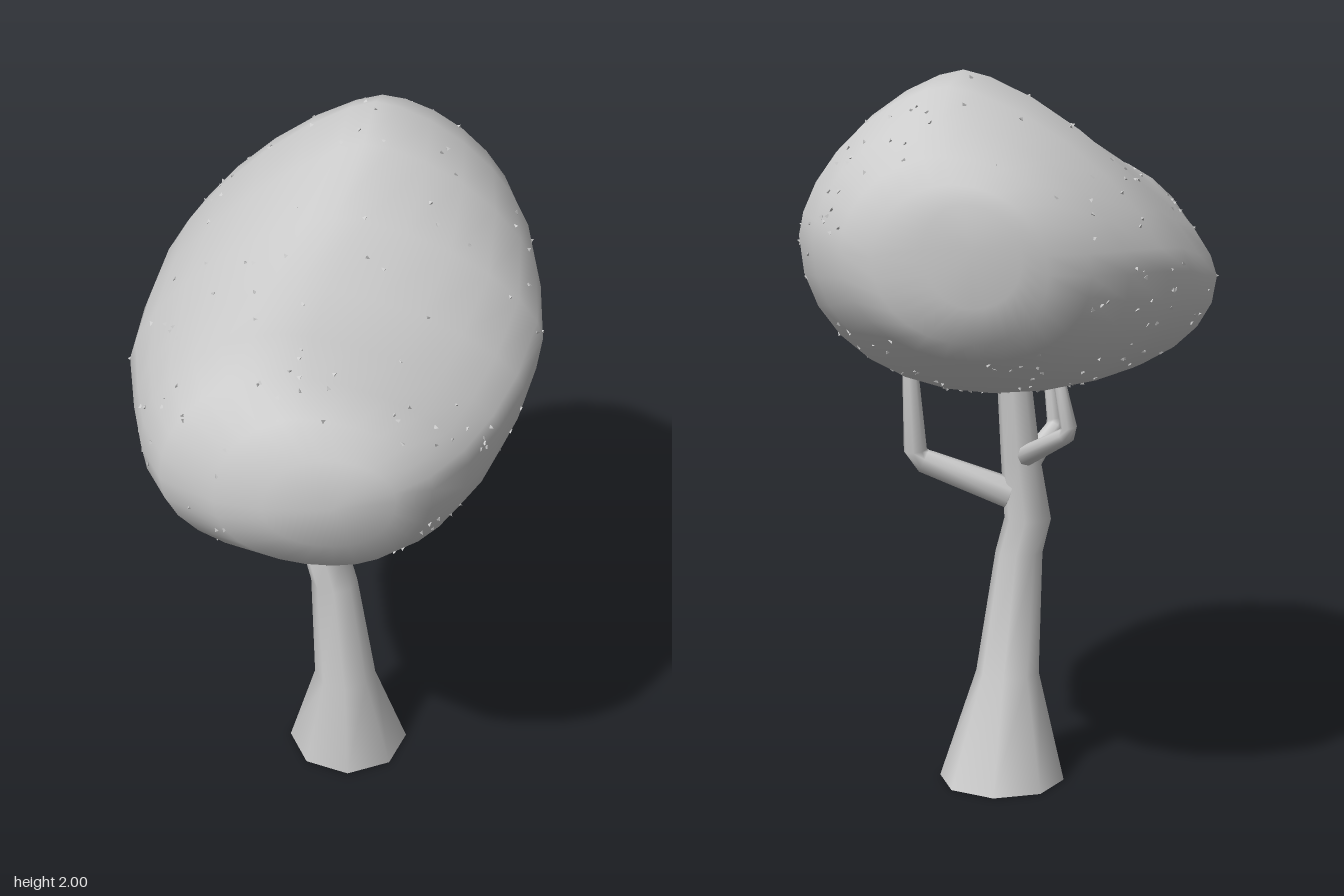
import * as THREE from 'three';
import { mergeVertices, mergeGeometries } from 'three/addons/utils/BufferGeometryUtils.js';

const bark = new THREE.MeshStandardMaterial({ color: 0xcccccc, side: THREE.DoubleSide });
const leaf = new THREE.MeshStandardMaterial({ color: 0xcccccc });

// Skin a list of closed rings (equal point counts) into one smooth surface
function loft(rings) {
  const n = rings[0].length, index = [];
  for (let i = 0; i < rings.length - 1; i++) {
    for (let j = 0; j < n; j++) {
      const a = i * n + j, b = i * n + (j + 1) % n;
      index.push(a, a + n, b, b, a + n, b + n);
    }
  }
  let geo = new THREE.BufferGeometry().setFromPoints(rings.flat());
  geo.setIndex(index);
  geo = mergeVertices(geo);
  geo.computeVertexNormals();
  return geo;
}

// Tapered limb through [x, y, z, radius] stations
function limb(name, stations, level = false) {
  const sides = 8;
  const pts = stations.map(s => new THREE.Vector3(s[0], s[1], s[2]));
  const rings = pts.map((p, i) => {
    const t = level ? new THREE.Vector3(0, 1, 0)
      : pts[Math.min(i + 1, pts.length - 1)].clone().sub(pts[Math.max(i - 1, 0)]).normalize();
    const u = new THREE.Vector3(1, 0, -1).cross(t).normalize();
    const v = u.clone().cross(t);
    return Array.from({ length: sides }, (_, j) => {
      const a = j / sides * Math.PI * 2, r = stations[i][3];
      return p.clone().addScaledVector(u, Math.cos(a) * r).addScaledVector(v, Math.sin(a) * r);
    });
  });
  const mesh = new THREE.Mesh(loft(rings), bark);
  mesh.name = name;
  return mesh;
}

// Crown sections, front to back: z, left x, right x, bottom y, top y, ridge x, widest y,
// then the roundness of the upper left and upper right slopes (2 = elliptic, 1 = straight)
const SECTIONS = [
  [0.805, 0, 0, 1.48, 1.48, 0, 1.48, 2, 2],
  [0.775, -0.17, 0.15, 1.35, 1.60, -0.02, 1.47, 2, 2],
  [0.72, -0.29, 0.24, 1.25, 1.68, -0.08, 1.46, 2, 1.8],
  [0.60, -0.43, 0.33, 1.175, 1.725, -0.12, 1.45, 2, 1.6],
  [0.45, -0.49, 0.41, 1.12, 1.75, -0.13, 1.45, 1.9, 1.5],
  [0.27, -0.525, 0.48, 1.10, 1.78, -0.10, 1.45, 1.7, 1.5],
  [0.06, -0.555, 0.54, 1.12, 1.86, -0.01, 1.47, 1.5, 1.55],
  [-0.16, -0.535, 0.545, 1.14, 1.96, 0.06, 1.5, 1.35, 1.55],
  [-0.33, -0.50, 0.53, 1.16, 2.00, 0.09, 1.53, 1.4, 1.55],
  [-0.46, -0.45, 0.50, 1.18, 1.96, 0.11, 1.54, 1.45, 1.65],
  [-0.60, -0.365, 0.435, 1.23, 1.88, 0.11, 1.54, 1.6, 1.8],
  [-0.72, -0.28, 0.34, 1.30, 1.80, 0.08, 1.54, 1.8, 1.9],
  [-0.775, -0.18, 0.25, 1.35, 1.735, 0.05, 1.54, 2, 2],
  [-0.798, -0.12, 0.12, 1.44, 1.69, 0.02, 1.57, 2, 2],
  [-0.805, 0, 0, 1.58, 1.58, 0, 1.58, 2, 2],
];

// Each quarter of a ring is its own superellipse arc
function crownRings(count) {
  return SECTIONS.map(([z, xl, xr, yb, yt, ridge, ym, pl, pr]) =>
    Array.from({ length: count }, (_, j) => {
      const a = j / count * Math.PI * 2, c = Math.cos(a), s = Math.sin(a);
      const p = s <= 0 ? 2.1 : c > 0 ? pr : pl;
      const u = Math.abs(c) ** (2 / p), v = Math.abs(s) ** (2 / p);
      // The middle leans from the keel over to the ridge, and the +x flank sits higher
      const mid = s > 0 ? ridge : 0;
      const flank = ym + Math.sign(c) * 0.05 * (yt - yb);
      return new THREE.Vector3(
        mid + u * ((c > 0 ? xr : xl) - mid),
        flank + v * ((s > 0 ? yt : yb) - flank), z);
    }));
}

// Tiny leaf tips scattered over the crown
function leafTips(rings, count) {
  let seed = 7;
  const rand = () => (seed = (seed * 16807) % 2147483647) / 2147483647;
  const n = rings[0].length, tips = [];
  for (let k = 0; k < count; k++) {
    const i = 2 + Math.floor(rand() * 9), j = Math.floor(rand() * n), f = rand(), g = rand();
    const near = rings[i][j].clone().lerp(rings[i][(j + 1) % n], f);
    const far = rings[i + 1][j].clone().lerp(rings[i + 1][(j + 1) % n], f);
    const p = near.lerp(far, g);
    const tip = new THREE.TetrahedronGeometry(0.008);
    tip.rotateX(rand() * 6).rotateY(rand() * 6).translate(p.x, p.y, p.z);
    tips.push(tip);
  }
  return mergeGeometries(tips);
}

export function createModel() {
  const tree = new THREE.Group();
  tree.name = 'tree';

  // Trunk, flared at the foot and open underneath
  tree.add(limb('trunk', [
    [0.03, 0, -0.06, 0.178], [0.02, 0.3, -0.008, 0.09], [-0.012, 0.65, 0, 0.067],
    [-0.038, 0.75, -0.01, 0.066], [-0.02, 0.92, -0.022, 0.056], [0, 1.2, -0.045, 0.046],
  ], true));

  // Three elbowed branches
  tree.add(limb('leftBranch', [
    [0, 0.82, -0.03, 0], [0.01, 0.825, -0.03, 0.044], [0.25, 0.915, -0.05, 0.034],
    [0.273, 0.945, -0.055, 0.033], [0.283, 1.21, -0.08, 0.021], [0.283, 1.215, -0.08, 0],
  ]));
  tree.add(limb('frontBranch', [
    [-0.035, 0.9, 0, 0], [-0.04, 0.905, 0.005, 0.034], [-0.095, 0.985, 0.125, 0.024],
    [-0.097, 1.01, 0.138, 0.022], [-0.075, 1.2, 0.14, 0.016], [-0.075, 1.205, 0.14, 0],
  ]));
  tree.add(limb('backBranch', [
    [-0.03, 0.93, -0.04, 0], [-0.035, 0.935, -0.05, 0.03], [-0.175, 1.04, -0.28, 0.023],
    [-0.182, 1.065, -0.295, 0.022], [-0.155, 1.2, -0.3, 0.016], [-0.155, 1.205, -0.3, 0],
  ]));

  // Crown
  const rings = crownRings(28);
  const crown = new THREE.Mesh(loft(rings), leaf);
  crown.name = 'crown';
  const tips = new THREE.Mesh(leafTips(rings, 240), leaf);
  tips.name = 'leafTips';
  tree.add(crown, tips);
  return tree;
}
